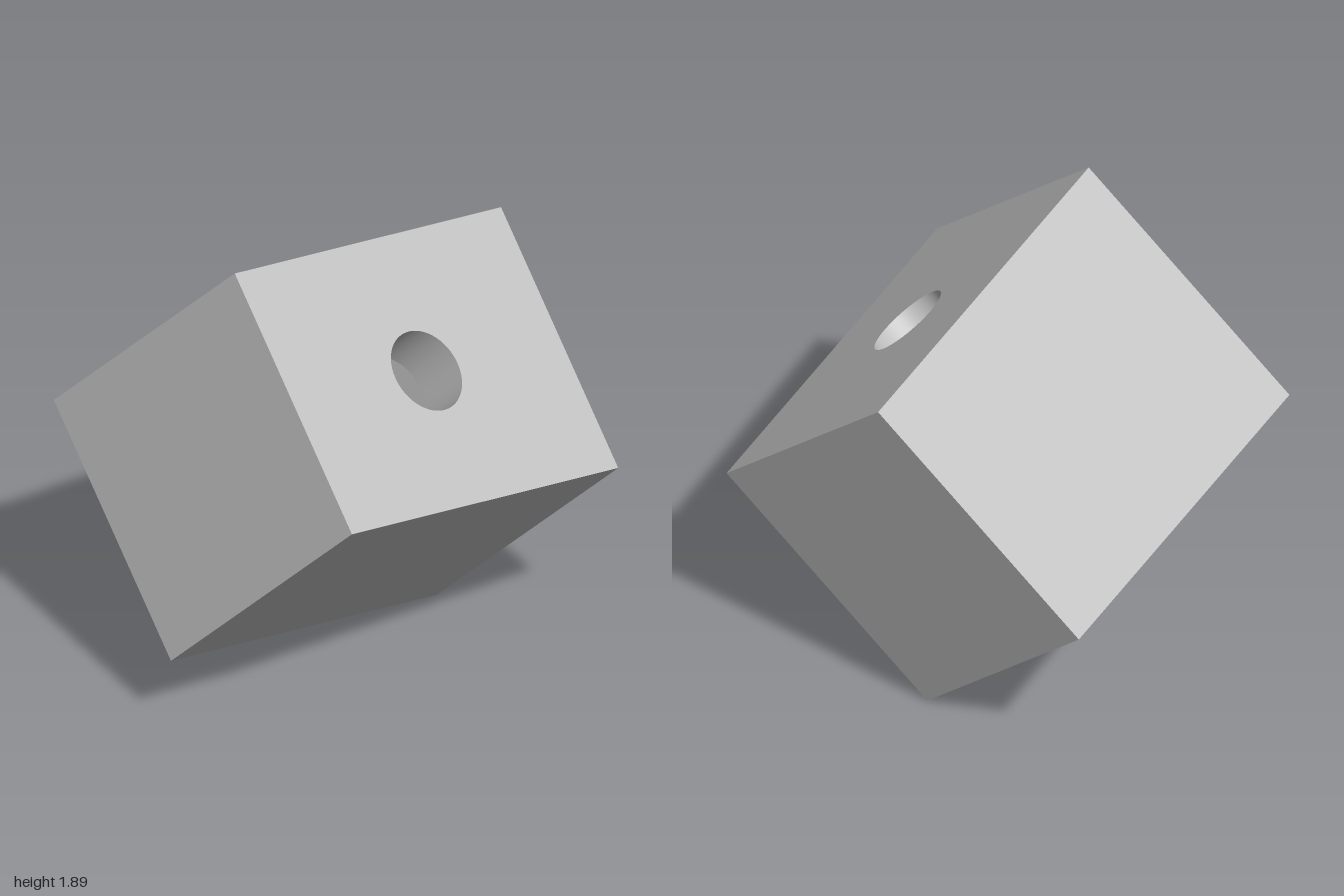
import * as THREE from 'three';

// Tilted open-bottomed housing with a round bore through its thick top plate
const W = 1.43, H = 1.18, D = 1.104;
const WALL = 0.122, PLATE = 0.24, BORE = 0.166;

export function createModel() {
  const root = new THREE.Group();
  root.name = 'housing';
  const grey = new THREE.MeshStandardMaterial({ color: 0xc0c0c0 });
  grey.name = 'lightGrey';

  const add = (name, geometry, y = 0) => {
    const mesh = new THREE.Mesh(geometry, grey);
    mesh.name = name;
    mesh.position.y = y;
    root.add(mesh);
  };

  const rectPoints = (w, d) => [[-1, -1], [1, -1], [1, 1], [-1, 1]]
    .map(([x, y]) => new THREE.Vector2(x * w / 2, y * d / 2));

  // Flat horizontal face with an opening, facing up (+1) or down (-1)
  const plate = (w, d, hole, facing) => {
    const shape = new THREE.Shape(rectPoints(w, d));
    shape.holes.push(hole);
    return new THREE.ShapeGeometry(shape, 64).rotateX(-facing * Math.PI / 2);
  };

  // Ring of four upright faces, facing outward (+1) or inward (-1)
  const walls = (name, w, d, y0, y1, facing) => {
    for (let i = 0; i < 4; i++) {
      const [width, dist] = i % 2 ? [d, w / 2] : [w, d / 2];
      const g = new THREE.PlaneGeometry(width, y1 - y0);
      if (facing < 0) g.rotateY(Math.PI);
      g.translate(0, (y0 + y1) / 2, dist).rotateY(i * Math.PI / 2);
      add(name + (i + 1), g);
    }
  };

  const circle = () => new THREE.Path().absarc(0, 0, BORE, 0, Math.PI * 2, true);
  const iw = W - 2 * WALL, id = D - 2 * WALL;
  const top = H / 2, ceiling = top - PLATE;

  add('topFace', plate(W, D, circle(), 1), top);
  add('cavityCeiling', plate(iw, id, circle(), -1), ceiling);
  add('bottomRim', plate(W, D, new THREE.Path(rectPoints(iw, id).reverse()), -1), -top);
  walls('outerWall', W, D, -top, top, 1);
  walls('cavityWall', iw, id, -top, ceiling, -1);

  // Downward profile makes the bore face inward
  add('bore', new THREE.LatheGeometry(
    [new THREE.Vector2(BORE, top), new THREE.Vector2(BORE, ceiling)], 64));

  // Tilt the whole part onto one corner
  const x = new THREE.Vector3(1.30, -0.31, -0.505).normalize();
  const y = new THREE.Vector3(0.465, 0.85, 0.675).normalize();
  const z = new THREE.Vector3().crossVectors(x, y).normalize();
  y.crossVectors(z, x);
  root.quaternion.setFromRotationMatrix(new THREE.Matrix4().makeBasis(x, y, z));
  root.position.y = 0.945;

  const model = new THREE.Group();
  model.name = 'model';
  model.add(root);
  return model;
}
